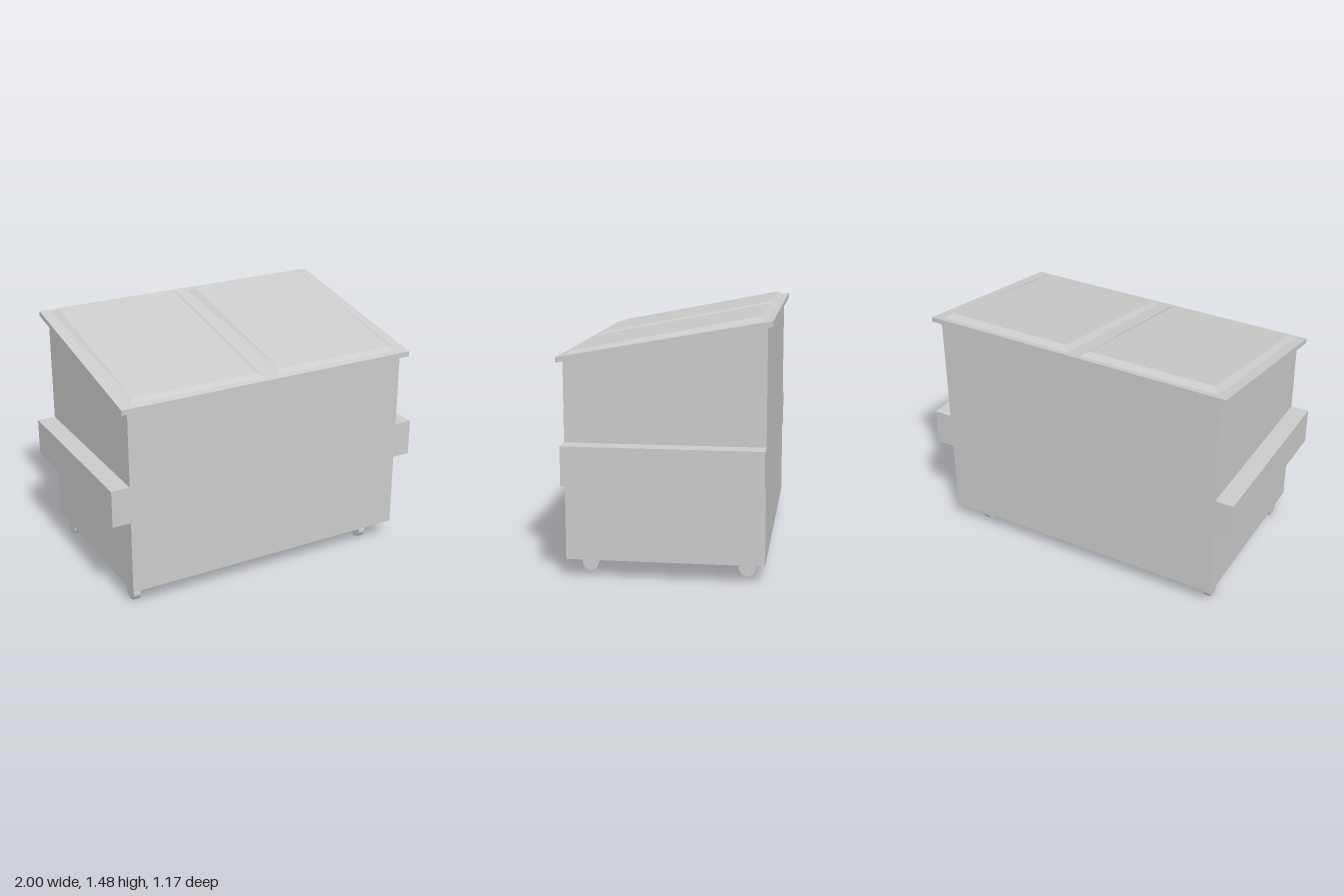
import * as THREE from 'three';

const material = new THREE.MeshStandardMaterial({ color: 0xcccccc, flatShading: true });
const wheelMaterial = new THREE.MeshStandardMaterial({ color: 0xcccccc });

// Height of the sloping lid's upper face at depth z
const lidTop = (z) => 1.355 - 0.1795 * z;
const LID_THICKNESS = 0.03;

// Box whose corners are moved by a rule: (sx, sy, sz) are -1 or 1
function shapedBox(name, rule) {
  const geometry = new THREE.BoxGeometry(2, 2, 2);
  const p = geometry.attributes.position;
  for (let i = 0; i < p.count; i++) {
    p.setXYZ(i, ...rule(p.getX(i), p.getY(i), p.getZ(i)));
  }
  geometry.computeVertexNormals();
  const mesh = new THREE.Mesh(geometry, material);
  mesh.name = name;
  return mesh;
}

export function createModel() {
  const model = new THREE.Group();
  model.name = 'dumpster';

  // Container with a top that slopes down to the front
  model.add(shapedBox('container', (sx, sy, sz) => {
    const z = sz * 0.555;
    return [sx * 0.89, sy > 0 ? lidTop(z) - LID_THICKNESS : 0.11, z];
  }));

  // Overhanging lid slab with upright edges
  model.add(shapedBox('lid', (sx, sy, sz) => {
    const z = sz * 0.585;
    return [sx * 0.935, lidTop(z) - (sy > 0 ? 0 : LID_THICKNESS), z];
  }));

  for (const side of [-1, 1]) {
    const prefix = side > 0 ? 'left' : 'right';

    // Raised bevelled lid panel, rising a little more towards the back
    model.add(shapedBox(prefix + 'LidPanel', (sx, sy, sz) => {
      const top = sy > 0;
      const x = side * 0.457 + sx * (top ? 0.381 : 0.418);
      const z = sz * (top ? 0.512 : 0.548);
      const rise = top ? (sz > 0 ? 0.014 : 0.029) : 0;
      return [x, lidTop(z) + rise, z];
    }));

    // Lifting sleeve along the side
    const sleeve = new THREE.Mesh(new THREE.BoxGeometry(0.11, 0.22, 1.11), material);
    sleeve.position.set(side * 0.945, 0.665, 0);
    sleeve.name = prefix + 'LiftSleeve';
    model.add(sleeve);

    // Eight-sided wheels, front and back
    for (const end of [1, -1]) {
      const geometry = new THREE.CylinderGeometry(0.05, 0.05, 0.043, 8).rotateZ(Math.PI / 2);
      const wheel = new THREE.Mesh(geometry, wheelMaterial);
      wheel.position.set(side > 0 ? 0.721 : -0.839, 0.05, end * 0.447);
      wheel.name = prefix + (end > 0 ? 'Front' : 'Back') + 'Wheel';
      model.add(wheel);
    }
  }

  return model;
}
